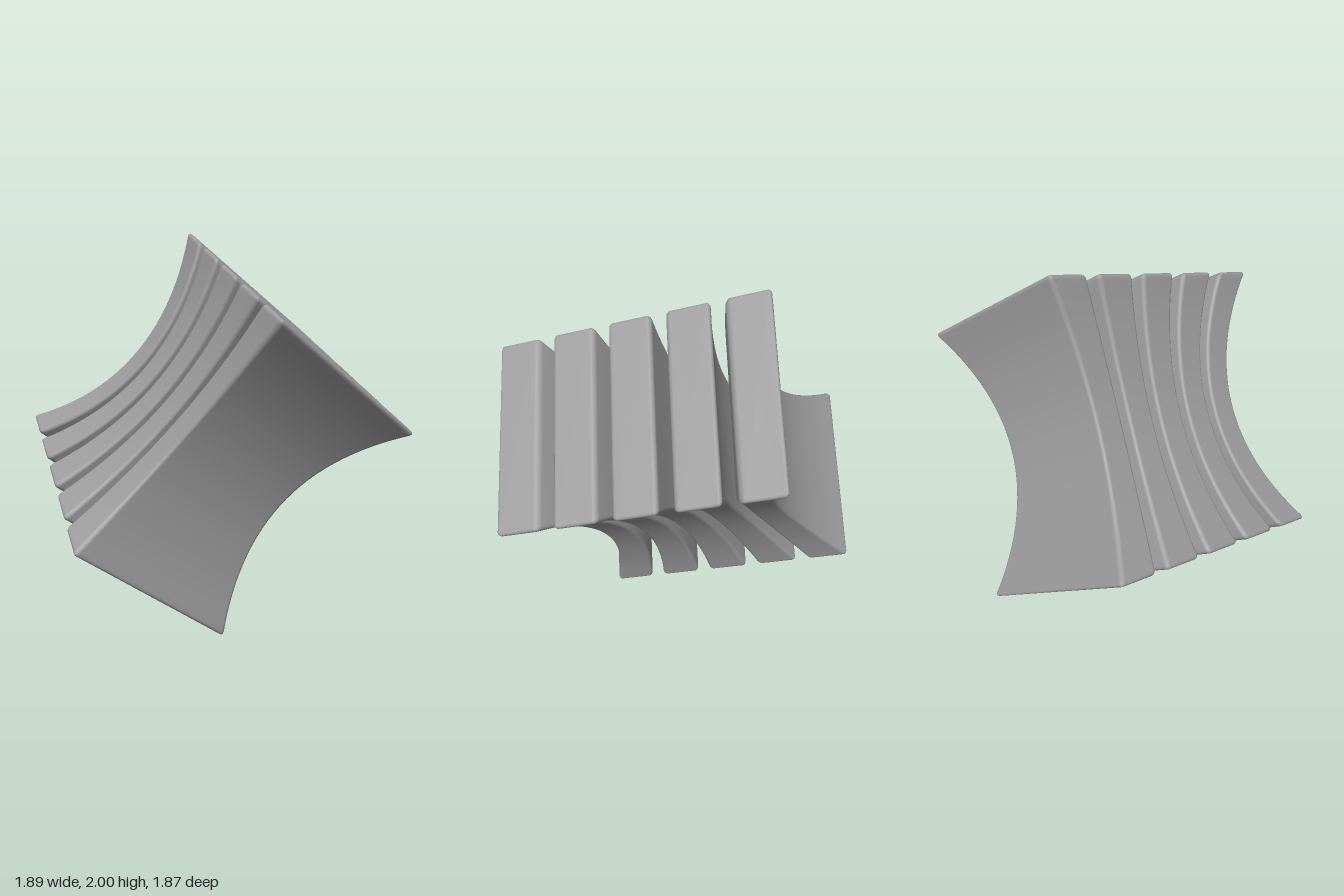
import * as THREE from 'three';

const SLABS = 5, PITCH = 0.294, THICK = 0.222;
const HALF_LENGTH = 0.688, HALF_WIDTH = 0.488, ROUND = 0.024;
const WAIST = 0.71; // cross-section scale at mid length

// Upright slab with rounded edges, centred on x = cx, then pinched at the middle of its length
function slabGeometry(cx) {
  const corner = 5, bevel = 5, spans = 40;
  const coreX = THICK / 2 - ROUND, coreY = HALF_LENGTH - ROUND, coreZ = HALF_WIDTH - ROUND;

  // Rows along the length: height and edge radius
  const rows = [];
  for (let i = 0; i <= bevel; i++) {
    const a = (i / bevel) * Math.PI / 2;
    rows.push([-coreY - ROUND * Math.cos(a), ROUND * Math.sin(a)]);
  }
  for (let i = 1; i < spans; i++) rows.push([coreY * (2 * i / spans - 1), ROUND]);
  for (let i = bevel; i >= 0; i--) rows.push([-rows[i][0], rows[i][1]]);

  const pos = [], index = [];
  const add = (x, y, z) => {
    const f = WAIST + (1 - WAIST) * (y / HALF_LENGTH) ** 2;
    pos.push((cx + x) * f, y, z * f);
  };

  // Rounded-rectangle ring for each row
  const signs = [[1, 1], [-1, 1], [-1, -1], [1, -1]];
  for (const [y, r] of rows) {
    signs.forEach(([sx, sz], q) => {
      for (let k = 0; k <= corner; k++) {
        const a = (q + k / corner) * Math.PI / 2;
        add(sx * coreX + r * Math.cos(a), y, sz * coreZ + r * Math.sin(a));
      }
    });
  }
  const n = 4 * (corner + 1), last = (rows.length - 1) * n;
  for (let i = 0; i < rows.length - 1; i++) {
    for (let j = 0; j < n; j++) {
      const a = i * n + j, c = i * n + (j + 1) % n;
      index.push(a, a + n, c, a + n, c + n, c);
    }
  }

  // Flat ends
  const bottom = pos.length / 3;
  add(0, -HALF_LENGTH, 0);
  add(0, HALF_LENGTH, 0);
  for (let j = 0; j < n; j++) {
    const k = (j + 1) % n;
    index.push(bottom, j, k, bottom + 1, last + k, last + j);
  }

  const geo = new THREE.BufferGeometry();
  geo.setAttribute('position', new THREE.Float32BufferAttribute(pos, 3));
  geo.setIndex(index);
  geo.computeVertexNormals();
  return geo;
}

export function createModel() {
  const model = new THREE.Group();
  model.name = 'pinchedSlabStack';
  const material = new THREE.MeshStandardMaterial({ color: 0x9c9c9c });

  // Tilted stack: x is the stacking direction, y the slab length, z the slab width
  const stack = new THREE.Group();
  stack.name = 'slabs';
  const x = new THREE.Vector3(0.9, -0.306, 0.306).normalize();
  const z = x.clone().cross(new THREE.Vector3(0.429, 0.754, -0.499)).normalize();
  const y = z.clone().cross(x);
  stack.quaternion.setFromRotationMatrix(new THREE.Matrix4().makeBasis(x, y, z));
  stack.position.y = 1;

  for (let i = 0; i < SLABS; i++) {
    const slab = new THREE.Mesh(slabGeometry((i - (SLABS - 1) / 2) * PITCH), material);
    slab.name = `slab${i + 1}`;
    stack.add(slab);
  }
  model.add(stack);
  return model;
}
